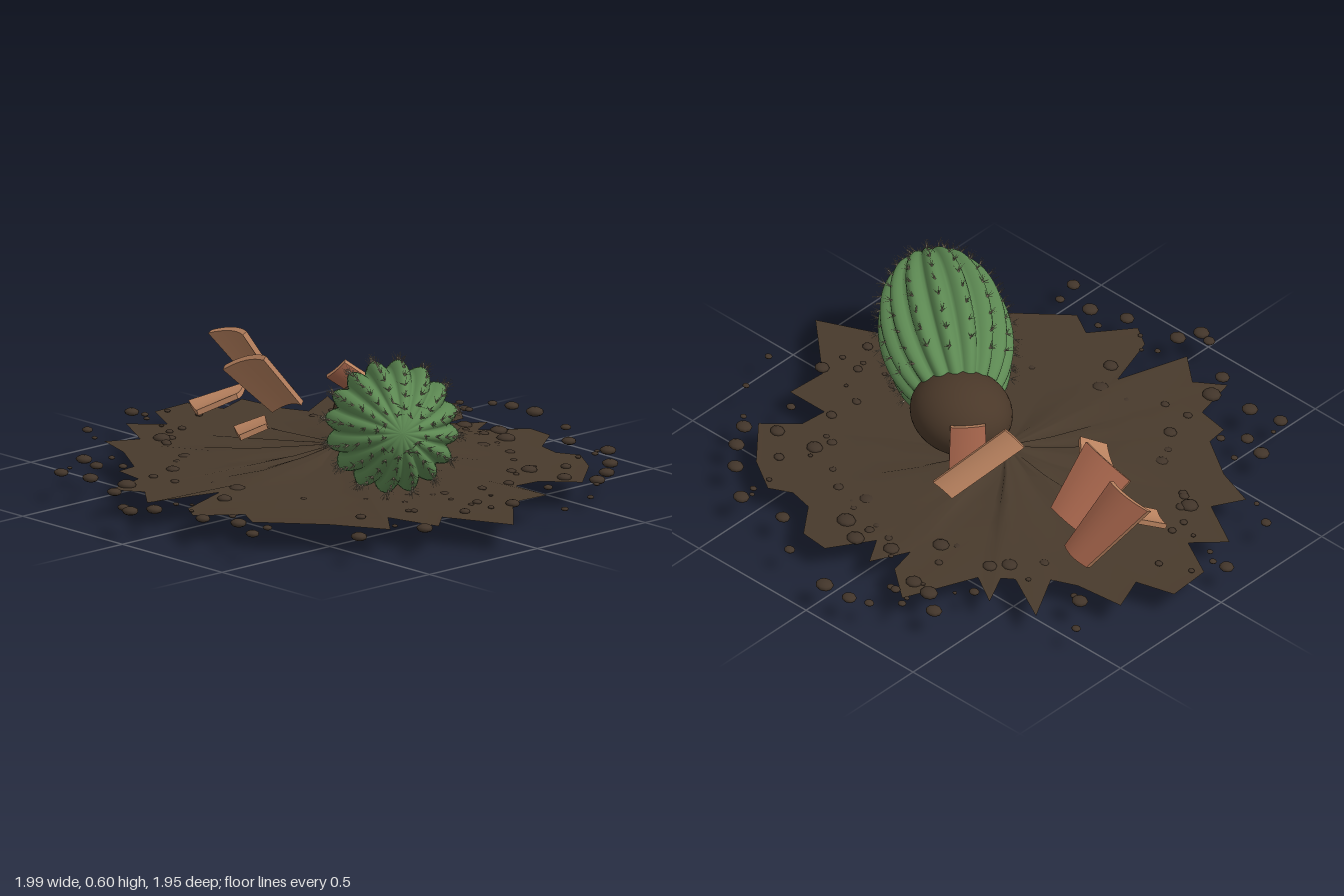
import * as THREE from 'three';
import { mergeGeometries } from 'three/addons/utils/BufferGeometryUtils.js';

const V = (x, y, z) => new THREE.Vector3(x, y, z);
const UP = V(0, 1, 0);

function paint(name, color, side = THREE.FrontSide) {
  const m = new THREE.MeshStandardMaterial({ color, side });
  m.name = name;
  return m;
}

function seeded(seed) {
  return () => (seed = (seed * 16807) % 2147483647) / 2147483647;
}

// Ragged outline of the spilled soil: x, z pairs around the rim
const RIM = [
  -.28, -.82, -.15, -.72, -.13, -.62, -.06, -.75, 0, -.65, .10, -.80, .21, -.79, .30, -.67,
  .39, -.65, .47, -.69, .60, -.61, .74, -.45, .63, -.35, .62, -.25, .78, -.25, .77, -.10,
  .99, .10, .75, .21, .83, .30, .63, .35, .75, .45, .56, .56, .36, .73, .27, .68,
  .16, .82, .08, .77, .01, .56, -.07, .82, -.18, .73, -.28, .80, -.32, .63, -.44, .61,
  -.45, .53, -.61, .43, -.76, .38, -.70, .27, -.88, .17, -.78, .07, -.93, -.01, -.94, -.17,
  -.80, -.21, -.85, -.34, -.67, -.36, -.58, -.40, -.68, -.58, -.49, -.48, -.45, -.51, -.51, -.63,
  -.39, -.56,
];

// Larger crumbs: x, z, radius
const CRUMBS = [
  -.41, -.80, .03, -.22, -.92, .018, -.15, -.945, .027, -.04, -.95, .033, .18, -.89, .02,
  -.33, -.74, .033, -.25, -.73, .03, -.07, -.65, .03, .06, -.69, .033, .15, -.64, .035,
  .32, -.775, .027, .50, -.79, .03, .63, -.68, .03, .71, -.59, .03, .76, -.50, .03,
  .66, -.44, .027, .80, -.46, .012, .505, -.42, .03, .175, -.51, .03, .91, -.33, .013,
  .965, -.16, .014, .79, -.08, .027, .825, .36, .03, .755, .60, .03, .48, .84, .025,
  .345, .78, .03, .22, .83, .027, .02, .87, .03, -.02, .945, .03, -.07, .93, .022,
  -.24, .815, .027, -.28, .72, .035, -.43, .75, .03, -.55, .775, .027, -.535, .625, .025,
  -.625, .60, .03, -.90, .33, .02, -.97, .06, .027, -.915, .05, .014, -.735, -.42, .03,
  -.83, -.54, .017, -.425, -.44, .03, -.38, -.49, .027, -.18, -.52, .032, -.645, .22, .033,
  -.41, .33, .027, .02, .485, .033, .08, .60, .027, -.32, .47, .025,
];

// Low mound with radial wrinkles, built as rings scaled out to the rim
function soilGeometry() {
  const rand = seeded(41);
  const n = RIM.length / 2, cx = -.02, cz = -.03;
  const rings = [.06, .2, .4, .6, .8, 1];
  const pos = [cx, .165, cz], index = [];
  for (let i = 0; i < n; i++) {
    const wrinkle = .45 + .55 * rand();
    for (const t of rings) {
      const x = cx + (RIM[2 * i] - cx) * t, z = cz + (RIM[2 * i + 1] - cz) * t;
      const fall = Math.max(0, 1 - Math.hypot(x - cx, z - cz) / .65);
      pos.push(x, .1 + .065 * fall * (t < .1 ? 1 : wrinkle), z);
    }
  }
  const at = (i, k) => 1 + (i % n) * rings.length + k;
  for (let i = 0; i < n; i++) {
    index.push(0, at(i + 1, 0), at(i, 0));
    for (let k = 0; k < rings.length - 1; k++) {
      index.push(at(i, k), at(i + 1, k), at(i + 1, k + 1), at(i, k), at(i + 1, k + 1), at(i, k + 1));
    }
  }
  const g = new THREE.BufferGeometry();
  g.setAttribute('position', new THREE.Float32BufferAttribute(pos, 3));
  g.setIndex(index);
  g.computeVertexNormals();
  return g;
}

function crumbGeometry() {
  const rand = seeded(977);
  const crumb = (x, z, r) => new THREE.SphereGeometry(r, 9, 6).scale(1, .48, .9).translate(x, .104, z);
  const parts = [];
  for (let i = 0; i < CRUMBS.length; i += 3) parts.push(crumb(CRUMBS[i], CRUMBS[i + 1], CRUMBS[i + 2]));
  for (let i = 0; i < 75; i++) {
    const a = rand() * Math.PI * 2, d = .48 + .44 * rand();
    parts.push(crumb(Math.cos(a) * d, Math.sin(a) * d, .008 + .012 * rand()));
  }
  return mergeGeometries(parts);
}

// Cactus body, along its own y axis
const RIBS = 16, LENGTH = .35, RADIUS = .228;
const profile = (p) => [RADIUS * Math.pow(Math.sin(p), .92), -LENGTH * Math.cos(p)];

function cactusGeometry() {
  const points = [];
  for (let i = 0; i <= 32; i++) {
    const [r, y] = profile(Math.PI * Math.min(.9999, Math.max(.0001, i / 32)));
    points.push(new THREE.Vector2(r, y));
  }
  const g = new THREE.LatheGeometry(points, RIBS * 8);
  const p = g.attributes.position;
  for (let i = 0; i < p.count; i++) {
    const a = Math.atan2(p.getX(i), p.getZ(i));
    const s = 1 - .16 * (1 - Math.abs(Math.cos(a * RIBS / 2)));
    p.setXYZ(i, p.getX(i) * s, p.getY(i), p.getZ(i) * s);
  }
  g.computeVertexNormals();
  return g;
}

// Bunches of fine spines along every rib crest
function spineGeometry() {
  const rand = seeded(123);
  const parts = [];
  for (let k = 0; k < RIBS; k++) {
    const a = k / RIBS * Math.PI * 2;
    for (let j = 0; j < 10; j++) {
      const phi = Math.PI * (.3 + .066 * (j + (k % 2) * .4));
      const [r, y] = profile(phi);
      const root = V(r * Math.sin(a), y, r * Math.cos(a));
      const out = V(root.x / RADIUS ** 2, y / LENGTH ** 2, root.z / RADIUS ** 2).normalize();
      parts.push(new THREE.OctahedronGeometry(.004).toNonIndexed().translate(root.x, root.y, root.z));
      for (let s = 0; s < 6; s++) {
        const dir = V(rand() - .5, rand() - .5, rand() - .5).multiplyScalar(1.5).add(out).normalize();
        const len = .025 + .015 * rand();
        const g = new THREE.ConeGeometry(.0016, len, 3, 1, true).toNonIndexed().translate(0, len / 2, 0);
        g.applyQuaternion(new THREE.Quaternion().setFromUnitVectors(UP, dir));
        parts.push(g.translate(root.x, root.y, root.z));
      }
    }
  }
  return mergeGeometries(parts);
}

// Curved pot fragment: corners run counterclockwise seen from its outer side
function shardGeometry(corners, bulge) {
  const [d, c, b, a] = corners.map((q) => V(...q));
  const n = c.clone().sub(d).cross(a.clone().sub(d)).normalize();
  const g = new THREE.BoxGeometry(1, 1, 1, 8, 1, 1);
  const p = g.attributes.position;
  for (let i = 0; i < p.count; i++) {
    const u = p.getX(i) + .5, v = p.getY(i) + .5;
    const q = d.clone().lerp(c, u).lerp(a.clone().lerp(b, u), v);
    q.addScaledVector(n, bulge * 4 * u * (1 - u) + p.getZ(i) * .02);
    p.setXYZ(i, q.x, q.y, q.z);
  }
  g.computeVertexNormals();
  return g;
}

const SHARDS = [
  [[[-.54, .16, -.28], [-.66, .14, -.30], [-.81, .38, -.155], [-.63, .41, -.15]], .02],
  [[[-.395, .2, -.2], [-.53, .15, -.19], [-.595, .32, -.02], [-.4, .39, -.03]], .02],
  [[[-.61, .235, -.13], [-.56, .22, -.05], [-.64, .165, .06], [-.73, .175, .015]], .008],
  [[[-.33, .205, .03], [-.215, .215, .13], [-.275, .175, .2], [-.39, .17, .12]], .008],
  [[[-.08, .165, -.36], [-.02, .22, -.39], [-.16, .4, -.18], [-.22, .34, -.15]], .008],
  [[[.01, .18, -.28], [-.08, .18, -.19], [-.04, .34, -.15], [.04, .34, -.24]], .01],
];

export function createModel() {
  const model = new THREE.Group();
  const soil = paint('soil', 0x483a2c, THREE.DoubleSide);
  const rootSoil = paint('root soil', 0x4a3829);
  const crumbs = paint('crumb brown', 0x42352a);
  const green = paint('cactus green', 0x5c8852);
  const spine = paint('spine beige', 0xa89a84, THREE.DoubleSide);
  const clay = paint('outer terracotta', 0xa5644b);
  const clayInside = paint('bare terracotta', 0xb9825f);
  const root = paint('root brown', 0x2f2c20);

  const add = (name, geometry, material, parent = model) => {
    const mesh = new THREE.Mesh(geometry, material);
    mesh.name = name;
    parent.add(mesh);
    return mesh;
  };

  add('spilledSoil', soilGeometry(), soil);
  add('soilCrumbs', crumbGeometry(), crumbs);

  // Toppled cactus with its ball of soil
  const cactus = new THREE.Group();
  cactus.name = 'cactus';
  add('cactusBody', cactusGeometry(), green, cactus);
  add('cactusSpines', spineGeometry(), spine, cactus);
  cactus.position.set(.4, .335, .12);
  cactus.quaternion.setFromUnitVectors(UP, V(.79, .19, .59).normalize());
  model.add(cactus);
  add('rootBall', new THREE.SphereGeometry(1, 36, 24).scale(.185, .137, .165), rootSoil)
    .position.set(.125, .277, -.095);

  // Broken pot
  for (const [corners, bulge] of SHARDS) {
    add('potShard', shardGeometry(corners, bulge),
      [clayInside, clayInside, clayInside, clayInside, clay, clayInside]);
  }

  // Thin roots hanging under the soil
  for (const [x, y, z] of [[-.045, .003, -.18], [-.09, .035, -.135], [-.03, .022, -.235]]) {
    const path = new THREE.CatmullRomCurve3([V(x + .12, .13, z + .02), V(x + .05, y + .045, z + .005), V(x, y, z)]);
    add('root', new THREE.TubeGeometry(path, 8, .0035, 5), root);
  }
  return model;
}
